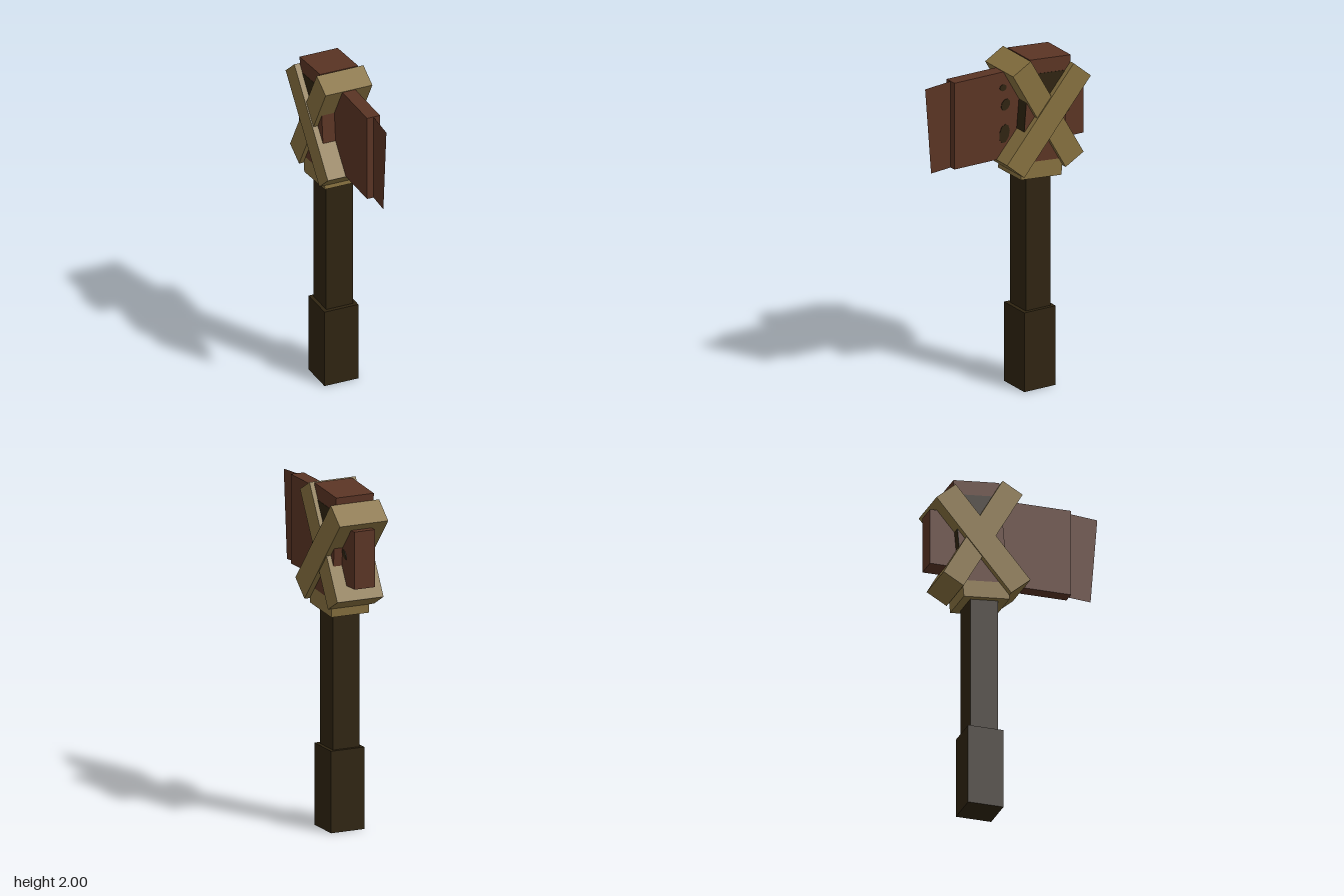
import * as THREE from 'three';

export function createModel() {
  const model = new THREE.Group();
  model.name = 'axe';

  const mat = (name, color, side = THREE.FrontSide) => {
    const m = new THREE.MeshStandardMaterial({ color, side });
    m.name = name;
    return m;
  };
  const darkWood = mat('dark wood', 0x2f2411);
  const rust = mat('rusty brown', 0x5a3424);
  rust.side = THREE.DoubleSide;
  const tan = mat('tan binding', 0x86703f);

  // Box given by size and centre, optionally tilted about x (degrees)
  const box = (name, material, size, pos, tilt = 0, parent = model) => {
    const mesh = new THREE.Mesh(new THREE.BoxGeometry(...size), material);
    mesh.name = name;
    mesh.position.set(...pos);
    mesh.rotation.x = THREE.MathUtils.degToRad(tilt);
    parent.add(mesh);
    return mesh;
  };

  // Handle
  box('grip', darkWood, [0.21, 0.477, 0.21], [0, 0.2385, -0.19]);
  box('shaft', darkWood, [0.166, 0.86, 0.166], [0, 0.9, -0.192]);

  // Tilted head block with a tan lower end and dark stained faces
  const head = new THREE.Group();
  head.name = 'headBlock';
  head.position.set(0, 1.632, -0.22);
  head.rotation.x = THREE.MathUtils.degToRad(-5);
  model.add(head);
  box('headCore', rust, [0.236, 0.613, 0.273], [0, 0.05, 0], 0, head);
  box('headBase', tan, [0.236, 0.1, 0.273], [0, -0.3065, 0], 0, head);
  box('frontStain', darkWood, [0.078, 0.2, 0.004], [0.079, 0.03, 0.137], 0, head);
  box('backStain', darkWood, [0.06, 0.2, 0.004], [-0.088, 0.03, -0.137], 0, head);
  for (const s of [-1, 1]) {
    box('sideStain', darkWood, [0.004, 0.17, 0.2], [s * 0.118, 0.185, 0], 0, head);
  }

  // Crossed bindings
  box('bindingToBack', tan, [0.304, 0.688, 0.15], [0, 1.624, -0.22], -40.3);
  box('bindingToFront', tan, [0.29, 0.71, 0.137], [0, 1.66, -0.22], 29.7);

  // Blade body and poll
  box('blade', rust, [0.08, 0.52, 0.44], [0, 1.67, 0.12]);
  box('poll', rust, [0.13, 0.335, 0.2], [0, 1.632, -0.408]);

  // Flat flared cutting edge; shape x runs along z
  const flat = (name, shape, material, x) => {
    const mesh = new THREE.Mesh(new THREE.ShapeGeometry(shape, 6), material);
    mesh.name = name;
    mesh.rotation.y = -Math.PI / 2;
    mesh.position.x = x;
    model.add(mesh);
    return mesh;
  };
  const edge = new THREE.Shape([
    [0.335, 1.41], [0.47, 1.4], [0.51, 1.915], [0.335, 1.93],
  ].map(([z, y]) => new THREE.Vector2(z, y)));
  flat('cuttingEdge', edge, rust, 0);

  // Dark pits on the left face of the blade and poll: z, y, radii, lean, x
  for (const [z, y, rz, ry, lean, x] of [
    [0.015, 1.835, 0.023, 0.02, 0, 0.041],
    [-0.001, 1.73, 0.028, 0.036, -0.5, 0.041],
    [0.007, 1.557, 0.034, 0.057, -0.2, 0.041],
    [-0.385, 1.64, 0.018, 0.034, 0.8, 0.066],
  ]) {
    const pit = new THREE.Mesh(new THREE.CylinderGeometry(1, 1, 0.004, 9), darkWood);
    pit.name = 'pit';
    pit.rotation.z = Math.PI / 2;
    pit.scale.set(ry, 1, rz);
    const holder = new THREE.Group();
    holder.name = 'pitMount';
    holder.position.set(x, y, z);
    holder.rotation.x = lean;
    holder.add(pit);
    model.add(holder);
  }

  return model;
}
